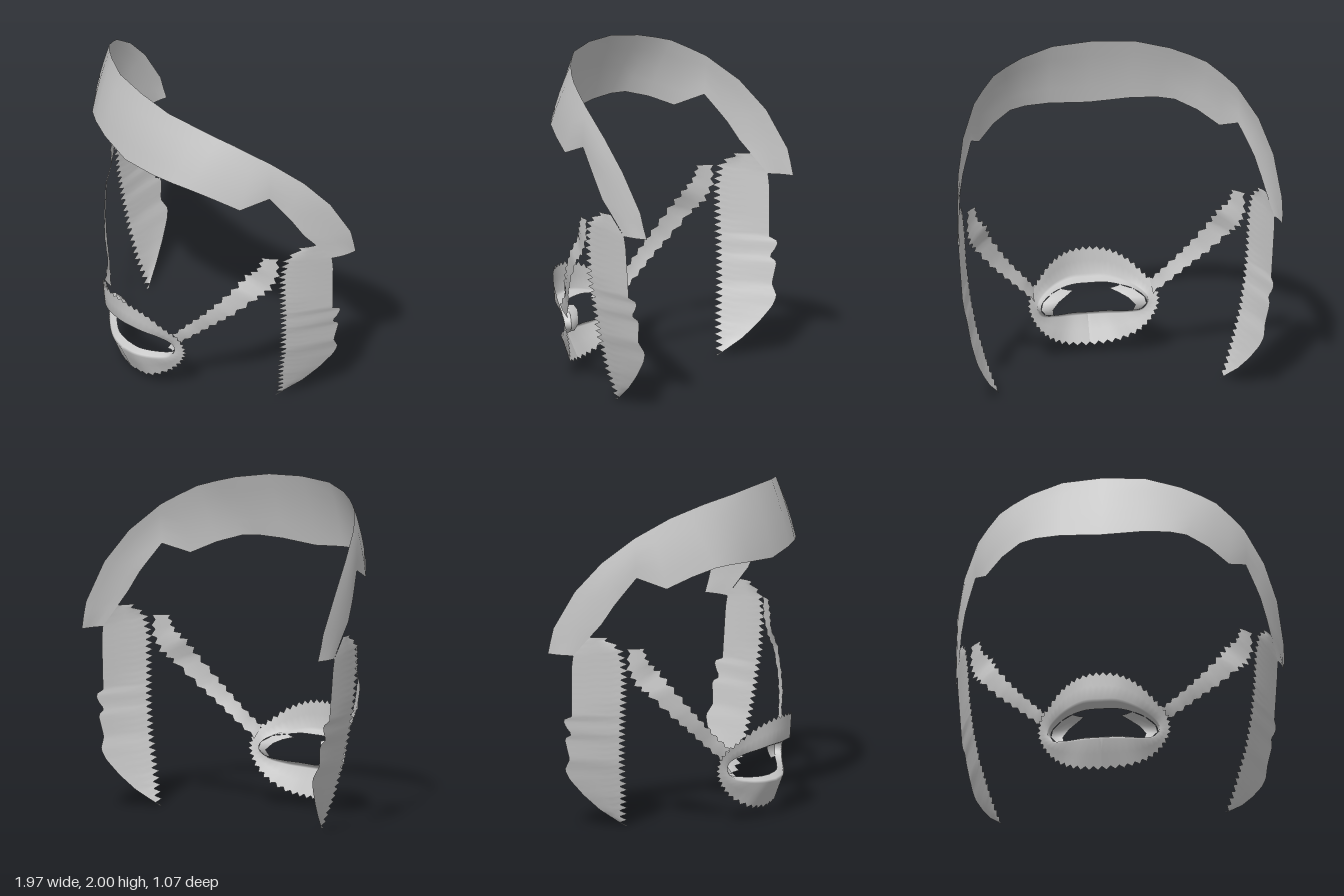
import * as THREE from 'three';

const V = (p) => new THREE.Vector3(...p);
const flipX = (p) => new THREE.Vector3(-p.x, p.y, p.z);

// Mirrors a half run of points, starting on x = 0, into a full left-right run
const both = (half) => {
  const pts = half.map(V);
  return [...pts.slice(1).reverse().map(flipX), ...pts];
};

// Point on a polyline of [x, y, z] (y falling) at height y
function atHeight(line, y) {
  let i = 0;
  while (i < line.length - 2 && line[i + 1][1] > y) i++;
  const a = V(line[i]), b = V(line[i + 1]);
  return a.clone().lerp(b, THREE.MathUtils.clamp((a.y - y) / (a.y - b.y), 0, 1)).setY(y);
}

// Smooth sheet through a grid of points: stations of equal length
function sheet(stations, flip = false) {
  const n = stations[0].length, pos = [], index = [];
  stations.forEach((s) => s.forEach((p) => pos.push(p.x, p.y, p.z)));
  for (let i = 0; i < stations.length - 1; i++) {
    for (let j = 0; j < n - 1; j++) {
      const a = i * n + j, b = a + 1, c = a + n, d = c + 1;
      index.push(...(flip ? [a, c, b, b, c, d] : [a, b, c, b, d, c]));
    }
  }
  const g = new THREE.BufferGeometry();
  g.setAttribute('position', new THREE.Float32BufferAttribute(pos, 3));
  g.setIndex(index);
  g.computeVertexNormals();
  return g;
}

// Points from a to b, bowed outwards from the vertical axis
function span(a, b, count, bow) {
  return Array.from({ length: count + 1 }, (_, j) => {
    const t = j / count, p = a.clone().lerp(b, t);
    const out = new THREE.Vector3(p.x, 0, p.z + 0.5).normalize();
    return p.addScaledVector(out, bow * 4 * t * (1 - t));
  });
}

export function createModel() {
  const model = new THREE.Group();
  const grey = new THREE.MeshStandardMaterial({ color: 0xc8c8c8, side: THREE.DoubleSide });
  grey.name = 'pale grey';
  const add = (name, geometry) => {
    const mesh = new THREE.Mesh(geometry, grey);
    mesh.name = name;
    model.add(mesh);
  };
  const addPair = (name, stations) => {
    add('left' + name, sheet(stations));
    add('right' + name, sheet(stations.map((s) => s.map(flipX)), true));
  };

  // Forehead band, sweeping back to a point at each temple
  const bandTop = both([
    [0, 2, 0.33], [0.25, 1.99, 0.31], [0.45, 1.96, 0.23], [0.56, 1.93, 0.17], [0.65, 1.9, 0.11],
    [0.73, 1.845, 0.03], [0.8, 1.79, -0.05], [0.9, 1.64, -0.22], [0.96, 1.46, -0.37],
    [0.985, 1.23, -0.5], [0.985, 1.15, -0.52], [0.98, 1.07, -0.54]]);
  const bandBottom = both([
    [0, 1.57, 0.45], [0.25, 1.59, 0.425], [0.4, 1.597, 0.385], [0.5, 1.592, 0.34], [0.62, 1.55, 0.245],
    [0.73, 1.485, 0.13], [0.81, 1.55, -0.03], [0.86, 1.44, -0.105], [0.885, 1.38, -0.145],
    [0.915, 1.27, -0.21], [0.93, 1.2, -0.27], [0.962, 1.07, -0.38]]);
  add('foreheadBand', sheet(bandTop.map((p, i) => span(p, bandBottom[i], 4, 0.01))));

  // Side panels, with a saw-toothed front edge
  const panelBack = [
    [0.935, 1.2, -0.27], [0.962, 1.07, -0.38], [0.96, 1, -0.39], [0.94, 0.69, -0.4], [0.945, 0.67, -0.46],
    [0.935, 0.62, -0.44], [0.92, 0.58, -0.41], [0.92, 0.55, -0.46], [0.895, 0.42, -0.44],
    [0.88, 0.35, -0.48], [0.86, 0.29, -0.46], [0.81, 0.19, -0.39], [0.755, 0.1, -0.31], [0.67, 0, -0.19]];
  const panelFront = [
    [0.9, 1.2, -0.19], [0.87, 1.12, -0.08], [0.855, 1, -0.06], [0.845, 0.8, -0.07], [0.825, 0.6, -0.09],
    [0.79, 0.4, -0.11], [0.735, 0.2, -0.13], [0.67, 0, -0.17]];
  const panel = [];
  for (let k = 0; k <= 60; k++) {
    const y = 1.19 * (1 - k / 60);
    const back = atHeight(panelBack, y), front = atHeight(panelFront, y);
    if (k % 2) front.lerp(back, Math.min(0.045 / (front.z - back.z + 0.001), 1));
    panel.push(span(back, front, 4, 0.006));
  }
  addPair('SidePanel', panel);

  // Ragged cheek strips running down to the mouth corners
  const cheekUpper = [
    [0.78, 1.12, 0], [0.765, 1.04, 0.02], [0.7, 0.97, 0.06], [0.66, 0.87, 0.13],
    [0.575, 0.74, 0.2], [0.5, 0.64, 0.25], [0.41, 0.54, 0.29], [0.35, 0.46, 0.35]].map(V);
  const cheekLower = [
    [0.84, 1.12, -0.07], [0.845, 1, -0.07], [0.82, 0.9, -0.03], [0.77, 0.83, 0.04],
    [0.66, 0.69, 0.13], [0.56, 0.59, 0.19], [0.46, 0.49, 0.24], [0.36, 0.39, 0.3]].map(V);
  const cheek = [];
  for (let k = 0; k <= 28; k++) {
    const i = Math.min(Math.floor(k / 4), 6), t = k / 4 - i;
    const u = cheekUpper[i].clone().lerp(cheekUpper[i + 1], t);
    const l = cheekLower[i].clone().lerp(cheekLower[i + 1], t);
    const jag = k % 2 ? 0.1 : -0.1;
    cheek.push(span(l.clone().lerp(u, jag), u.clone().lerp(l, jag), 2, 0.005));
  }
  addPair('CheekStrip', cheek);

  // Mouth ring: fringed outer edge, lip ridge and inner edge, from top centre to bottom centre
  const curve = (half) => new THREE.CatmullRomCurve3(both(half));
  const outer = curve([
    [0, 0.61, 0.53], [0.12, 0.6, 0.51], [0.22, 0.56, 0.46], [0.31, 0.485, 0.39], [0.37, 0.42, 0.33],
    [0.385, 0.34, 0.3], [0.35, 0.25, 0.3], [0.27, 0.155, 0.33], [0.15, 0.085, 0.39], [0, 0.065, 0.41]]);
  const ridge = curve([
    [0, 0.46, 0.52], [0.1, 0.46, 0.51], [0.2, 0.44, 0.46], [0.28, 0.41, 0.39], [0.33, 0.37, 0.34],
    [0.34, 0.33, 0.33], [0.31, 0.27, 0.35], [0.22, 0.235, 0.41], [0.11, 0.22, 0.46], [0, 0.215, 0.48]]);
  const inner = curve([
    [0, 0.43, 0.44], [0.1, 0.43, 0.43], [0.18, 0.42, 0.4], [0.25, 0.41, 0.34], [0.31, 0.37, 0.3],
    [0.32, 0.33, 0.29], [0.29, 0.29, 0.31], [0.2, 0.265, 0.37], [0.1, 0.255, 0.42], [0, 0.25, 0.43]]);
  const mouth = [];
  for (let k = 0; k <= 108; k++) {
    const t = k / 108;
    const o = outer.getPoint(t), r = ridge.getPoint(t), n = inner.getPoint(t);
    if (k % 2) o.add(o.clone().sub(r).setLength(0.022));
    mouth.push([o, o.clone().lerp(r, 0.5), r, r.clone().lerp(n, 0.4).add(V([0, 0, 0.012])), n]);
  }
  add('mouthRing', sheet(mouth));

  // Inner folds at the mouth corners
  const rim = [[0.18, 0.42, 0.4], [0.25, 0.41, 0.34], [0.31, 0.37, 0.3], [0.32, 0.33, 0.29], [0.29, 0.29, 0.31]].map(V);
  const fold = [[0.11, 0.41, 0.38], [0.16, 0.395, 0.33], [0.21, 0.37, 0.3], [0.25, 0.33, 0.28], [0.24, 0.285, 0.31]].map(V);
  addPair('MouthCornerFold', rim.map((p, i) => span(p, fold[i], 2, -0.006)));

  return model;
}
